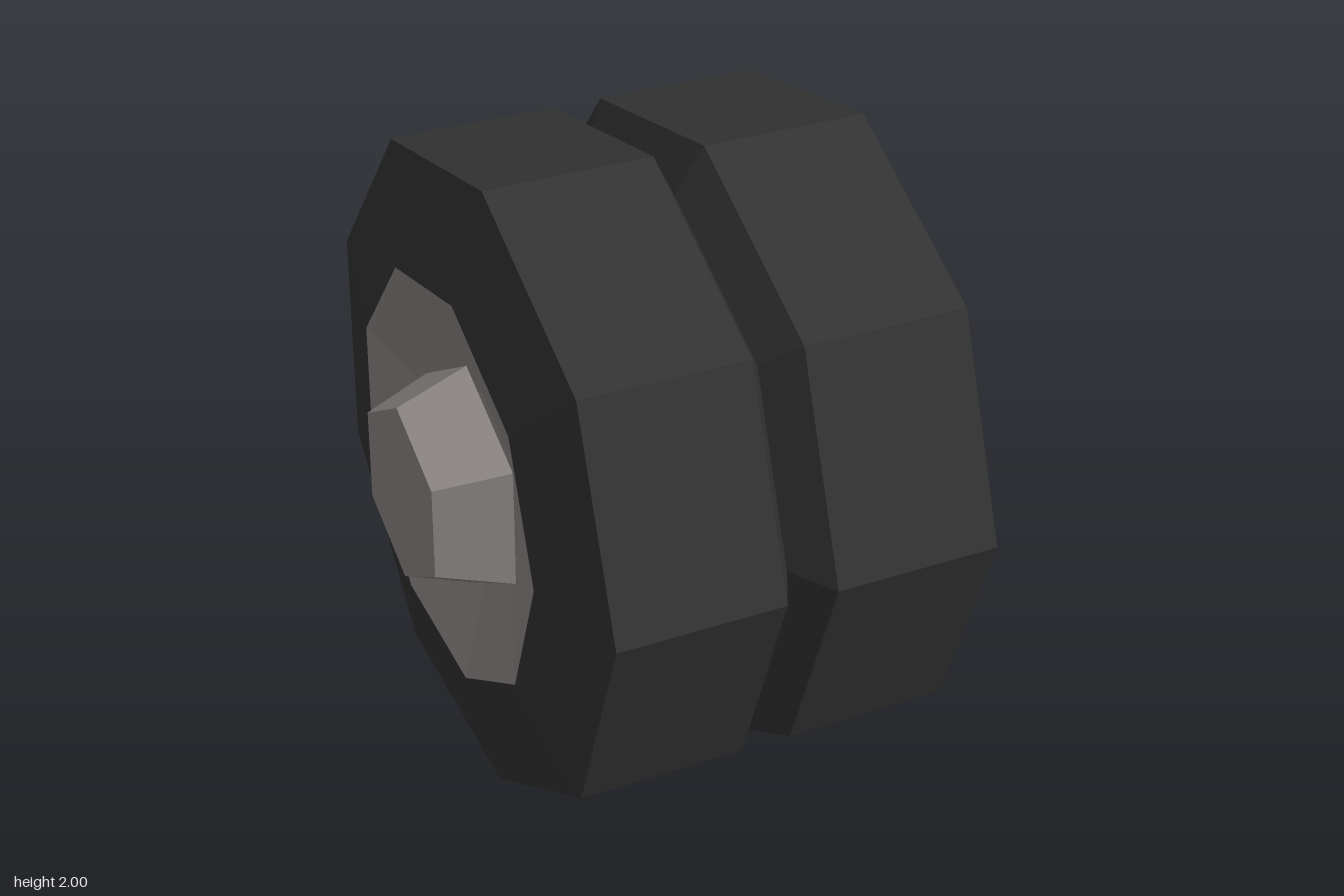
import * as THREE from 'three';

// Faceted solid of revolution about the x axis; profile is a list of [radius, x], from -x to +x
function turned(name, profile, sides, phiStart, material, z) {
  const points = profile.map(([r, x]) => new THREE.Vector2(r, x));
  const geometry = new THREE.LatheGeometry(points, sides, phiStart);
  geometry.rotateZ(-Math.PI / 2);
  const mesh = new THREE.Mesh(geometry, material);
  mesh.name = name;
  mesh.position.set(0, 1, z);
  return mesh;
}

export function createModel() {
  const rubber = new THREE.MeshStandardMaterial({ color: 0x323232, flatShading: true });
  rubber.name = 'dark rubber';
  const metal = new THREE.MeshStandardMaterial({ color: 0x8a8583, flatShading: true });
  metal.name = 'grey metal';

  const group = new THREE.Group();
  group.name = 'doubleWheel';

  // Nine-sided twin tyre with a V groove and a closed flat inner face
  const R = 1.0154, lip = 0.645;
  group.add(turned('twinTyre', [
    [lip, -0.61], [R, -0.535], [R, -0.015], [0.865, 0.065],
    [R, 0.145], [R, 0.66], [lip, 0.74], [0, 0.74],
  ], 9, 0, rubber, -0.03));

  // Shallow conical rim dish sunk into the outer face
  group.add(turned('rimDish', [[0, -0.49], [0.3, -0.5], [lip, -0.61]], 9, 0, metal, -0.03));

  // Tapered six-sided hub cap
  group.add(turned('hubCap', [[0, -0.75], [0.288, -0.75], [0.374, -0.53]],
    6, Math.PI / 6, metal, -0.0225));

  return group;
}
